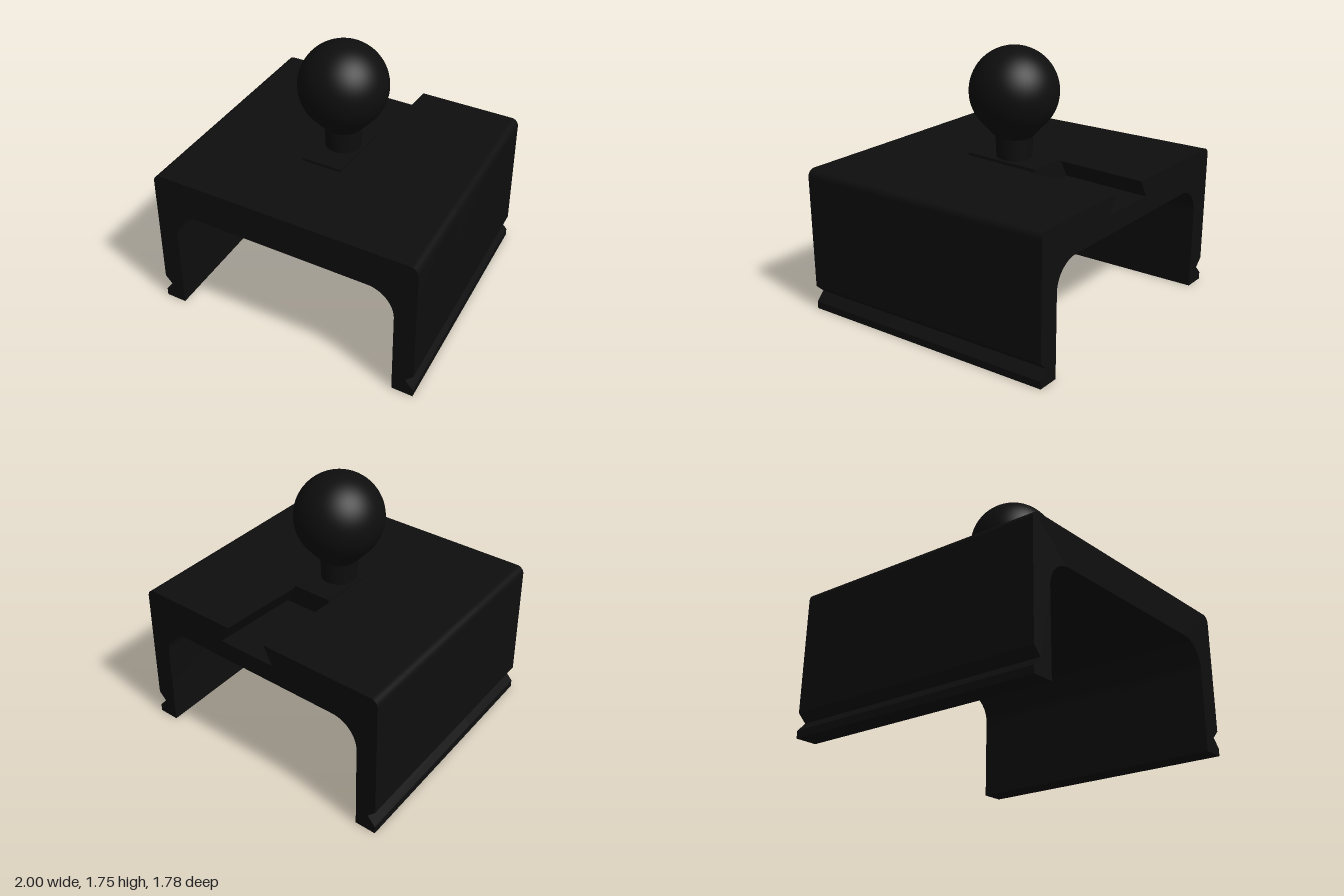
import * as THREE from 'three';
import { toCreasedNormals } from 'three/addons/utils/BufferGeometryUtils.js';

const SKEW = 0.073;       // sideways drift of the walls along z
const SLOT_END = 0.27;    // front end of the dovetail slot

const blackPlastic = new THREE.MeshStandardMaterial({ color: 0x0e0e0e });
blackPlastic.name = 'blackPlastic';

// Arch cross-section with V grooves, optionally with a dovetail slot on top
function archShape(slotted) {
  const w = 0.935, inner = 0.79, top = 0.99, ceil = 0.745, r = 0.05, R = 0.18;
  const s = new THREE.Shape();
  s.moveTo(inner, 0);
  s.lineTo(w, 0);
  s.lineTo(w, 0.05);
  s.lineTo(w - 0.055, 0.11);
  s.lineTo(w, 0.165);
  s.lineTo(w, top - r);
  s.absarc(w - r, top - r, r, 0, Math.PI / 2, false);
  if (slotted) {
    s.lineTo(0.145, top);
    s.lineTo(0.21, top - 0.12);
    s.lineTo(-0.21, top - 0.12);
    s.lineTo(-0.145, top);
  }
  s.lineTo(-w + r, top);
  s.absarc(-w + r, top - r, r, Math.PI / 2, Math.PI, false);
  s.lineTo(-w, 0.165);
  s.lineTo(-w + 0.055, 0.11);
  s.lineTo(-w, 0.05);
  s.lineTo(-w, 0);
  s.lineTo(-inner, 0);
  s.lineTo(-inner, ceil - R);
  s.absarc(-inner + R, ceil - R, R, Math.PI, Math.PI / 2, true);
  s.lineTo(inner - R, ceil);
  s.absarc(inner - R, ceil - R, R, Math.PI / 2, 0, true);
  s.closePath();
  return s;
}

// Extrude between two z positions, skewing the walls but not the slot
function prism(shape, z0, z1) {
  const g = new THREE.ExtrudeGeometry(shape, { depth: z1 - z0, bevelEnabled: false, curveSegments: 10 });
  g.translate(0, 0, z0);
  const p = g.attributes.position;
  for (let i = 0; i < p.count; i++) {
    const x = p.getX(i);
    if (Math.abs(x) > 0.3) p.setX(i, x + p.getZ(i) * SKEW);
  }
  return toCreasedNormals(g, 0.6);
}

export function createModel() {
  const model = new THREE.Group();
  model.name = 'ballMountBracket';
  const add = (name, geometry) => {
    const mesh = new THREE.Mesh(geometry, blackPlastic);
    mesh.name = name;
    model.add(mesh);
    return mesh;
  };

  // Bracket: solid front, slotted back
  add('bracketFront', prism(archShape(false), SLOT_END, 0.89));
  add('bracketBack', prism(archShape(true), -0.89, SLOT_END));

  // Dovetail slider seated in the slot, slightly proud of the top
  const slider = new THREE.Shape();
  slider.moveTo(-0.205, 0.872);
  slider.lineTo(0.205, 0.872);
  slider.lineTo(0.14, 0.99);
  slider.lineTo(0.14, 1.008);
  slider.lineTo(-0.14, 1.008);
  slider.lineTo(-0.14, 0.99);
  slider.closePath();
  add('slider', prism(slider, -0.28, 0.28));

  // Neck, flared collar and ball in one turned profile
  const cy = 1.45, r = 0.295;
  const profile = [[0.118, 1.0], [0.124, 1.15], [0.124, 1.15]].map(([x, y]) => new THREE.Vector2(x, y));
  for (let i = 0; i <= 28; i++) {
    const a = THREE.MathUtils.lerp(-Math.PI / 4, Math.PI / 2, i / 28);
    profile.push(new THREE.Vector2(i === 28 ? 0 : r * Math.cos(a), cy + r * Math.sin(a)));
  }
  add('ballStud', toCreasedNormals(new THREE.LatheGeometry(profile, 48), 0.5));

  return model;
}
